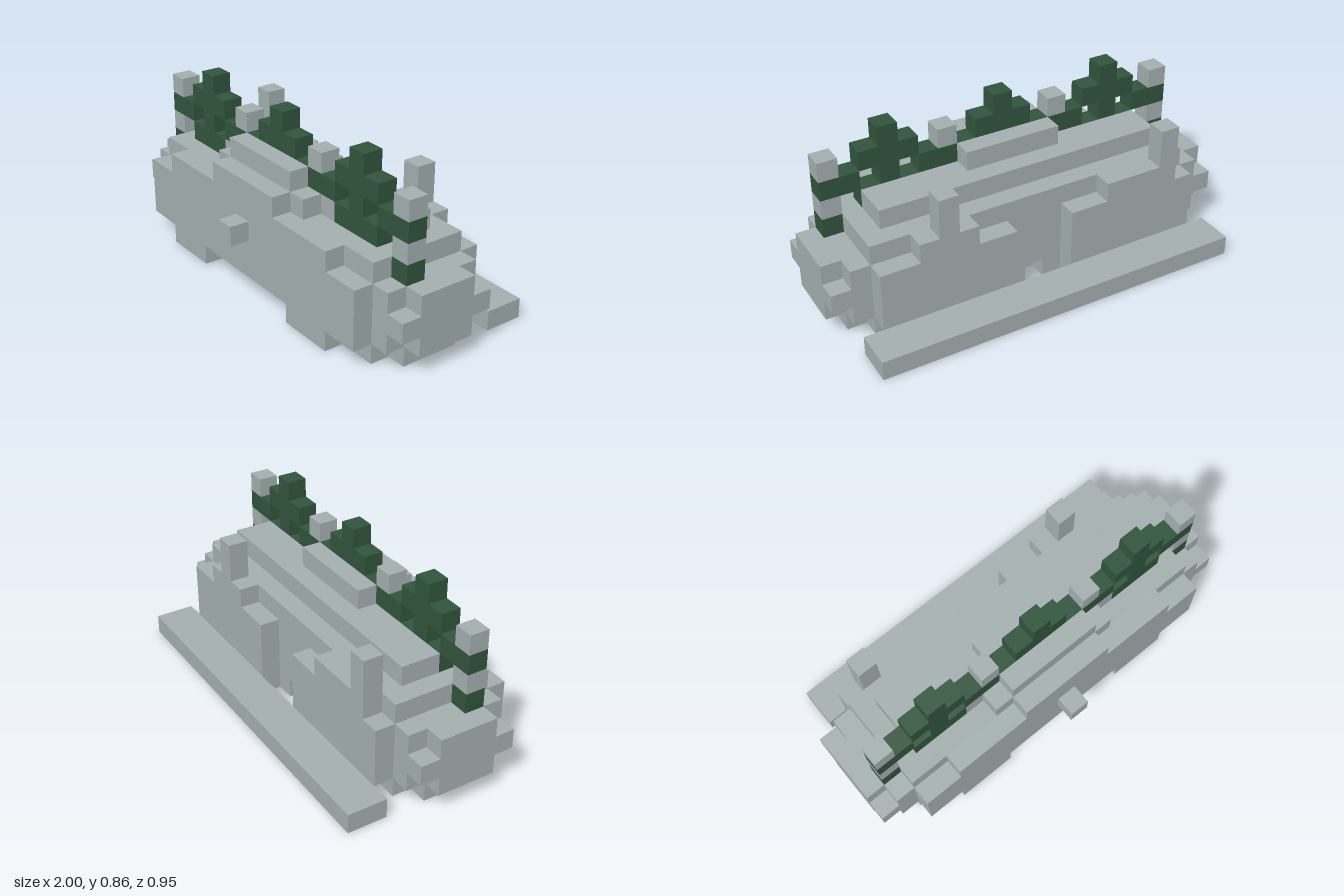
import * as THREE from 'three';

const U = 2 / 21; // edge of one block

export function createModel() {
  const model = new THREE.Group();
  const stone = new THREE.MeshStandardMaterial({ color: 0xa3aeaf });
  stone.name = 'pale grey stone';
  const green = new THREE.MeshStandardMaterial({ color: 0x30543c });
  green.name = 'dark green';

  // Block-aligned box given by its limits in block units
  function box(name, mat, x0, x1, y0, y1, z0, z1) {
    const g = new THREE.BoxGeometry((x1 - x0) * U, (y1 - y0) * U, (z1 - z0) * U);
    const m = new THREE.Mesh(g, mat);
    m.name = name;
    m.position.set((x0 + x1) / 2 * U, (y0 + y1) / 2 * U, (z0 + z1) / 2 * U);
    model.add(m);
  }
  // The same box on both sides
  function pair(name, mat, x0, x1, ...rest) {
    box(name + 'Left', mat, x0, x1, ...rest);
    box(name + 'Right', mat, -x1, -x0, ...rest);
  }

  // Core of the body, with a small notch under the doorway
  box('bodyCore', stone, -8.5, 8.5, 1, 5, -2, 3);
  box('bodyBase', stone, -8.5, 8.5, 0, 1, -1, 3);
  pair('baseBack', stone, 0.5, 8.5, 0, 1, -2, -1);

  // Stepped round ends
  pair('endWall', stone, 8.5, 9.5, 1, 4, -2, 3);
  pair('endFoot', stone, 8.5, 9.5, 0, 1, -1, 2);
  pair('endCap', stone, 9.5, 10.5, 1, 4, -1, 2);
  pair('endCapBand', stone, 9.5, 10.5, 2, 3, -2, 3);

  // Front wall, feet and knob
  box('frontWall', stone, -8.5, 8.5, 1, 4, 3, 4);
  box('frontWallTop', stone, -6.5, 6.5, 4, 5, 3, 4);
  pair('frontFoot', stone, 3.5, 6.5, 0, 1, 3, 4);
  box('knob', stone, -0.5, 0.5, 3, 4, 4, 5);

  // Back wall around an open doorway
  pair('backWall', stone, 1.5, 8.5, 1, 4, -3, -2);
  pair('backWallTop', stone, 3.5, 6.5, 4, 5, -3, -2);
  pair('backFoot', stone, 1.5, 6.5, 0, 1, -3, -2);
  box('chimneyLeft', stone, 4.5, 5.5, 5, 7, -3, -2);
  box('chimneyRight', stone, -7.5, -6.5, 4, 7, -3, -2);
  box('backStep', stone, -9.5, 9.5, 0, 1, -5, -3);

  // Upper terraces
  box('terrace', stone, -7.5, 7.5, 5, 6, -1, 1);
  box('terraceMiddle', stone, -4.5, 4.5, 5, 6, 1, 2);
  box('terraceFront', stone, -3.5, 3.5, 5, 6, 2, 3);
  box('terraceFrontEdge', stone, -2.5, 2.5, 5, 6, 3, 4);
  box('crownBack', stone, -2.5, 2.5, 6, 7, 0, 1);
  box('crownFront', stone, -2.5, 2.5, 6, 7, 2, 3);

  // Banded posts
  pair('outerPostBand', green, 8.5, 9.5, 4, 5, 1, 2);
  pair('outerPost', stone, 8.5, 9.5, 5, 6, 1, 2);
  pair('outerPostTop', stone, 8.5, 9.5, 7, 8, 1, 2);
  pair('innerPostTop', stone, 2.5, 3.5, 7, 8, 1, 2);

  // Green crosses and rails
  pair('outerRail', green, 7.5, 9.5, 6, 7, 1, 2);
  pair('innerRail', green, 2.5, 4.5, 6, 7, 1, 2);
  pair('crossFoot', green, 4.5, 7.5, 5, 6, 1, 2);
  pair('crossStem', green, 5.5, 6.5, 6, 7, 1, 2);
  pair('crossArms', green, 4.5, 7.5, 7, 8, 1, 2);
  pair('crossTip', green, 5.5, 6.5, 8, 9, 1, 2);
  box('middleRail', green, -2.5, 2.5, 6, 7, 1, 2);
  box('middleArms', green, -1.5, 1.5, 7, 8, 1, 2);
  box('middleTip', green, -0.5, 0.5, 8, 9, 1, 2);

  // Pole ends showing on the underside
  for (const x of [-6, 0, 6]) {
    box('poleEnd', green, x - 0.5, x + 0.5, -0.02, 0.03, 1, 2);
  }

  return model;
}
